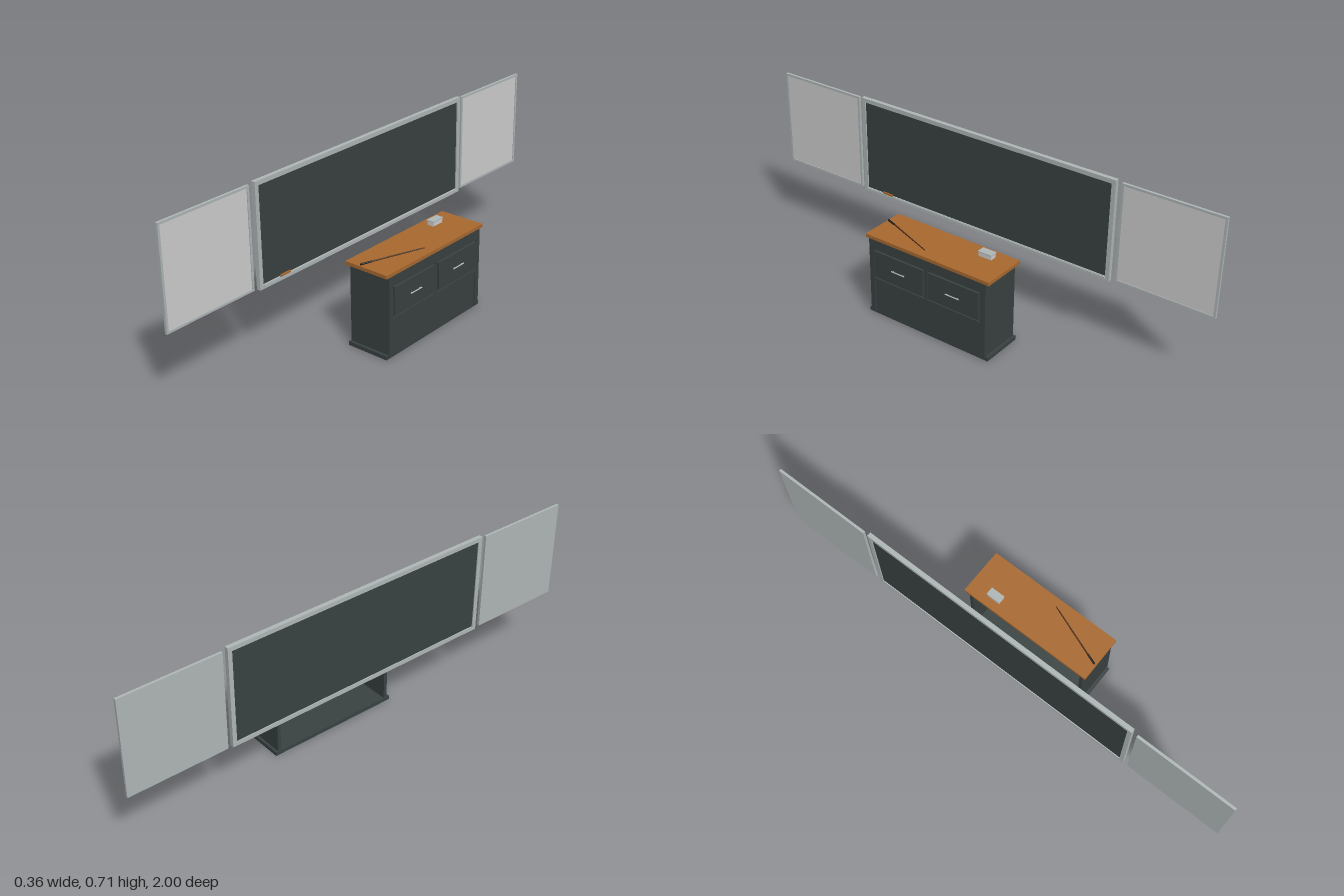
import * as THREE from 'three';

const mat = (name, color) => {
  const m = new THREE.MeshStandardMaterial({ color });
  m.name = name;
  return m;
};

export function createModel() {
  const root = new THREE.Group();
  root.name = 'classroomBoardAndDesk';

  const dark = mat('darkSlate', 0x3a4242);
  const grey = mat('metalGrey', 0xb0b8b8);
  const pale = mat('paleGrey', 0xd0d0d0);
  const wood = mat('warmWood', 0xaa6a30);
  const brown = mat('darkBrown', 0x4a2c18);
  const black = mat('gripBlack', 0x1e1e1e);

  const group = (name) => {
    const g = new THREE.Group();
    g.name = name;
    root.add(g);
    return g;
  };
  // Box from its extents along each axis
  const box = (parent, name, m, x0, x1, y0, y1, z0, z1) => {
    const mesh = new THREE.Mesh(new THREE.BoxGeometry(x1 - x0, y1 - y0, z1 - z0), m);
    mesh.position.set((x0 + x1) / 2, (y0 + y1) / 2, (z0 + z1) / 2);
    mesh.name = name;
    parent.add(mesh);
    return mesh;
  };
  // Rectangular border extruded along x
  const frame = (parent, name, m, x0, x1, y0, y1, z0, z1, w) => {
    box(parent, name + 'Top', m, x0, x1, y1 - w, y1, z0, z1);
    box(parent, name + 'Bottom', m, x0, x1, y0, y0 + w, z0, z1);
    box(parent, name + 'SideA', m, x0, x1, y0 + w, y1 - w, z0, z0 + w);
    box(parent, name + 'SideB', m, x0, x1, y0 + w, y1 - w, z1 - w, z1);
  };
  // Rod between two points
  const rod = (parent, name, m, a, b, r0, r1 = r0) => {
    const dir = b.clone().sub(a);
    const mesh = new THREE.Mesh(new THREE.CylinderGeometry(r1, r0, dir.length(), 12), m);
    mesh.position.copy(a).add(b).multiplyScalar(0.5);
    mesh.quaternion.setFromUnitVectors(new THREE.Vector3(0, 1, 0), dir.normalize());
    mesh.name = name;
    parent.add(mesh);
  };
  const v = (x, y, z) => new THREE.Vector3(x, y, z);

  // Main writing board with its frame and chalk tray
  const board = group('mainBoard');
  box(board, 'writingSurface', dark, -0.176, -0.168, 0.312, 0.693, -0.565, 0.565);
  frame(board, 'boardFrame', grey, -0.18, -0.163, 0.297, 0.708, -0.58, 0.58, 0.017);
  box(board, 'chalkTray', grey, -0.163, -0.154, 0.308, 0.312, -0.565, 0.565);
  box(board, 'trayLip', grey, -0.156, -0.154, 0.312, 0.316, -0.565, 0.565);
  box(board, 'eraserFelt', black, -0.162, -0.157, 0.312, 0.315, 0.43, 0.48);
  box(board, 'eraserBlock', wood, -0.162, -0.157, 0.315, 0.323, 0.43, 0.48);

  // Pale side boards
  for (const s of [-1, 1]) {
    const wing = group(s > 0 ? 'leftWing' : 'rightWing');
    const z0 = s > 0 ? 0.6 : -1, z1 = z0 + 0.4;
    box(wing, 'backing', grey, -0.18, -0.175, 0.303, 0.702, z0, z1);
    box(wing, 'panel', pale, -0.175, -0.173, 0.311, 0.694, z0 + 0.008, z1 - 0.008);
    frame(wing, 'wingFrame', grey, -0.175, -0.17, 0.303, 0.702, z0, z1, 0.009);
  }

  // Desk carcass, open towards the board
  const desk = group('desk');
  box(desk, 'plinth', dark, -0.018, 0.162, 0, 0.016, -0.283, 0.283);
  box(desk, 'frontPanel', dark, 0.15, 0.162, 0.016, 0.331, -0.257, 0.257);
  box(desk, 'desktop', wood, -0.025, 0.168, 0.331, 0.345, -0.287, 0.287);
  for (const s of [-1, 1]) {
    const zo = s * 0.272, zi = s * 0.257;
    box(desk, 'sidePanel', dark, -0.015, 0.162, 0.016, 0.331, Math.min(zo, zi), Math.max(zo, zi));
    box(desk, 'cornerStile', dark, 0.162, 0.167, 0.008, 0.331, Math.min(zo, s * 0.25), Math.max(zo, s * 0.25));
  }
  box(desk, 'topRail', dark, 0.162, 0.167, 0.291, 0.331, -0.25, 0.25);
  box(desk, 'middleRail', dark, 0.162, 0.168, 0.155, 0.163, -0.25, 0.25);
  box(desk, 'centreStile', dark, 0.162, 0.167, 0.163, 0.291, -0.006, 0.006);

  // Drawers and pulls
  for (const s of [-1, 1]) {
    const c = s * 0.128;
    box(desk, 'drawerFront', dark, 0.162, 0.171, 0.17, 0.285, c - 0.116, c + 0.116);
    rod(desk, 'drawerPull', grey, v(0.176, 0.228, c - 0.031), v(0.176, 0.228, c + 0.031), 0.0025);
    for (const e of [-0.024, 0.024]) {
      rod(desk, 'pullPost', grey, v(0.17, 0.228, c + e), v(0.176, 0.228, c + e), 0.002);
    }
  }

  // Chalk box on the desktop
  const chalkBox = group('chalkBox');
  box(chalkBox, 'boxBody', pale, 0.01, 0.039, 0.345, 0.362, -0.203, -0.147);
  box(chalkBox, 'boxLid', grey, 0.008, 0.041, 0.362, 0.366, -0.205, -0.145);

  // Pointer lying across the desktop
  const pointer = group('pointer');
  rod(pointer, 'pointerGrip', black, v(0.042, 0.349, 0.28), v(0.057, 0.35, 0.238), 0.004, 0.0035);
  rod(pointer, 'pointerStick', brown, v(0.056, 0.35, 0.24), v(0.134, 0.35, 0.03), 0.003, 0.002);

  return root;
}
